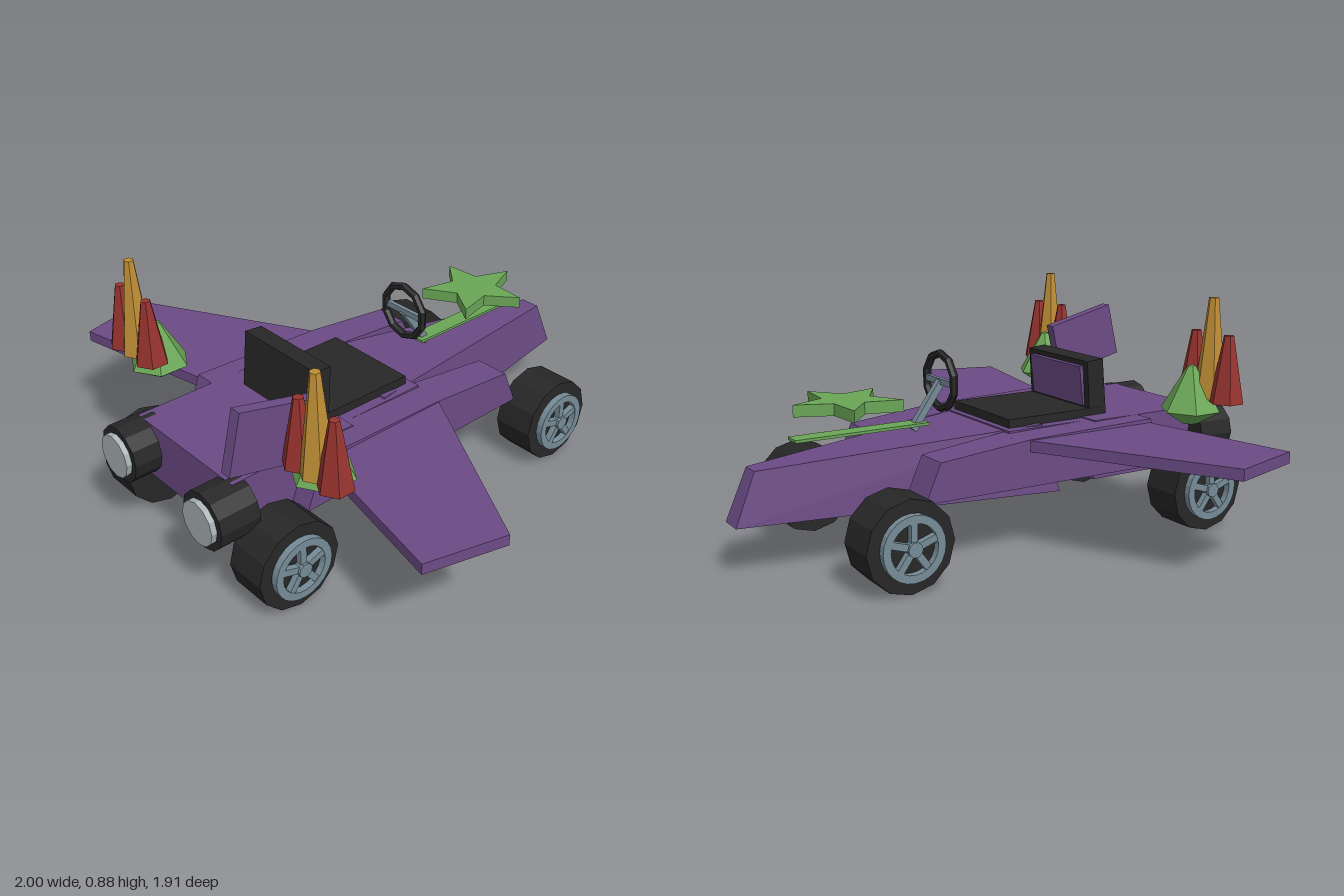
import * as THREE from 'three';

const mat = (name, color) => Object.assign(new THREE.MeshStandardMaterial({ color }), { name });

export function createModel() {
  const model = new THREE.Group();
  model.name = 'jetKart';
  const purple = mat('purple', 0x6b4b85), black = mat('black', 0x272727), steel = mat('steel', 0x768b97);
  const green = mat('green', 0x6aa656), red = mat('red', 0x96332f), orange = mat('orange', 0xbf8e35);
  const silver = mat('silver', 0xa9b3b5);

  // Adds a faceted mesh
  const add = (name, geo, material, x = 0, y = 0, z = 0, parent = model) => {
    const flat = geo.index ? geo.toNonIndexed() : geo;
    flat.computeVertexNormals();
    const mesh = new THREE.Mesh(flat, material);
    mesh.name = name;
    mesh.position.set(x, y, z);
    parent.add(mesh);
    return mesh;
  };
  const box = (w, h, d) => new THREE.BoxGeometry(w, h, d);

  // Eight-cornered block; each edge is [x centre, half width, y, z]
  const block = (rearTop, rearLow, frontTop, frontLow) => {
    const geo = box(2, 2, 2), p = geo.attributes.position;
    for (let i = 0; i < p.count; i++) {
      const e = p.getZ(i) > 0 ? (p.getY(i) > 0 ? rearTop : rearLow) : (p.getY(i) > 0 ? frontTop : frontLow);
      p.setXYZ(i, e[0] + p.getX(i) * e[1], e[2], e[3]);
    }
    return geo;
  };
  // Horizontal slab from [x, z] outline
  const slab = (pts, depth) => {
    const shape = new THREE.Shape(pts.map(([x, z]) => new THREE.Vector2(x, -z)));
    return new THREE.ExtrudeGeometry(shape, { depth, bevelEnabled: false }).rotateX(-Math.PI / 2);
  };

  // Body: pointed nose, centre floor and tail block
  add('nose', block([0, 0.215, 0.43, 0.14], [0, 0.245, 0.18, 0.2],
    [0, 0.038, 0.362, -0.88], [0, 0.048, 0.18, -0.955]), purple);
  add('cockpitFloor', box(0.46, 0.17, 0.5), purple, 0, 0.34, 0.24);
  add('tailBlock', box(0.54, 0.22, 0.5), purple, 0, 0.32, 0.585);

  for (const s of [1, -1]) {
    const side = s > 0 ? 'left' : 'right';
    // Side pods beside the cockpit
    add(side + 'PodRear', block([s * 0.265, 0.085, 0.43, 0.53], [s * 0.265, 0.085, 0.25, 0.6],
      [s * 0.27, 0.075, 0.418, 0], [s * 0.27, 0.075, 0.25, 0]), purple);
    add(side + 'PodFront', block([s * 0.27, 0.075, 0.418, 0], [s * 0.27, 0.075, 0.25, 0],
      [s * 0.275, 0.065, 0.385, -0.35], [s * 0.275, 0.065, 0.25, -0.41]), purple);
    // Wing
    add(side + 'Wing', slab([[s * 0.27, -0.04], [s, 0.36], [s * 0.92, 0.645], [s * 0.34, 0.525], [s * 0.25, 0.5]], 0.04),
      purple, 0, 0.375, 0);

    // Exhaust with bright end
    add(side + 'Exhaust', new THREE.CylinderGeometry(0.105, 0.105, 0.15, 12).rotateX(Math.PI / 2), black, s * 0.243, 0.328, 0.862);
    add(side + 'ExhaustEnd', new THREE.CylinderGeometry(0.08, 0.08, 0.03, 12).rotateX(Math.PI / 2), silver, s * 0.243, 0.328, 0.942);

    // Crystal base with three spikes
    const crystal = [[0, 0.425], [0.03, 0.425], [0.11, 0.474], [0.015, 0.635], [0, 0.64]].map(([r, y]) => new THREE.Vector2(r, y));
    add(side + 'CrystalBase', new THREE.LatheGeometry(crystal, 6), green, s * 0.458, 0, 0.62);
    add(side + 'TallSpike', new THREE.CylinderGeometry(0.018, 0.06, 0.36, 6), orange, s * 0.498, 0.7, 0.675);
    for (const o of [-0.083, 0.083]) {
      add(side + 'ShortSpike', new THREE.CylinderGeometry(0.018, 0.062, 0.24, 6), red, s * 0.498 + o, 0.635, 0.675);
    }

    // Wheels: tyre, rim ring, five spokes and cap
    for (const z of [-0.527, 0.725]) {
      const wheel = new THREE.Group();
      wheel.name = side + (z > 0 ? 'TailWheel' : 'NoseWheel');
      wheel.position.set(s * 0.378, 0.16, z);
      model.add(wheel);
      add('tyre', new THREE.CylinderGeometry(0.16, 0.16, 0.155, 12).rotateZ(Math.PI / 2), black, 0, 0, 0, wheel);
      const ring = new THREE.Shape().absarc(0, 0, 0.113, 0, Math.PI * 2);
      ring.holes.push(new THREE.Path().absarc(0, 0, 0.085, 0, Math.PI * 2, true));
      const rim = new THREE.ExtrudeGeometry(ring, { depth: 0.025, bevelEnabled: false, curveSegments: 12 });
      add('rim', rim.rotateY(s * Math.PI / 2), steel, s * 0.077, 0, 0, wheel);
      for (let i = 0; i < 5; i++) {
        const spoke = box(0.024, 0.095, 0.024).translate(s * 0.088, 0.047, 0).rotateX(i * Math.PI * 0.4);
        add('spoke', spoke, steel, 0, 0, 0, wheel);
      }
      add('hubCap', new THREE.CylinderGeometry(0.026, 0.026, 0.032, 10).rotateZ(Math.PI / 2), steel, s * 0.093, 0, 0, wheel);
    }
  }

  // Seat
  add('seatCushion', box(0.38, 0.035, 0.42), black, 0, 0.439, 0.225);
  add('seatBack', block([0, 0.188, 0.638, 0.428], [0, 0.188, 0.43, 0.448],
    [0, 0.188, 0.632, 0.358], [0, 0.188, 0.43, 0.372]), black);
  add('seatPanel', block([0, 0.16, 0.613, 0.36], [0, 0.16, 0.465, 0.371],
    [0, 0.16, 0.611, 0.344], [0, 0.16, 0.462, 0.362]), purple);

  // Steering wheel and column
  add('steeringWheel', new THREE.TorusGeometry(0.1, 0.015, 6, 10).rotateZ(Math.PI / 10), black, 0, 0.583, -0.155);
  add('steeringBar', box(0.19, 0.022, 0.016), steel, 0, 0.583, -0.157);
  const column = add('steeringColumn', box(0.026, 0.2, 0.026), steel, 0, 0.5, -0.213);
  column.rotation.x = 0.62;

  // Star ornament above a strip on the nose
  const star = [];
  for (let i = 0; i < 10; i++) {
    const r = i % 2 ? 0.088 : 0.198, a = i * Math.PI / 5;
    star.push([Math.sin(a) * r, -Math.cos(a) * r - 0.525]);
  }
  add('star', slab(star, 0.042), green, 0, 0.517, 0);
  add('noseStrip', box(0.066, 0.01, 0.51), green, 0, 0.44, -0.475);

  // Single tilted fin
  const fin = add('fin', box(0.042, 0.215, 0.298), purple, 0.347, 0.613, 0.737);
  fin.rotation.x = -0.24;

  return model;
}
